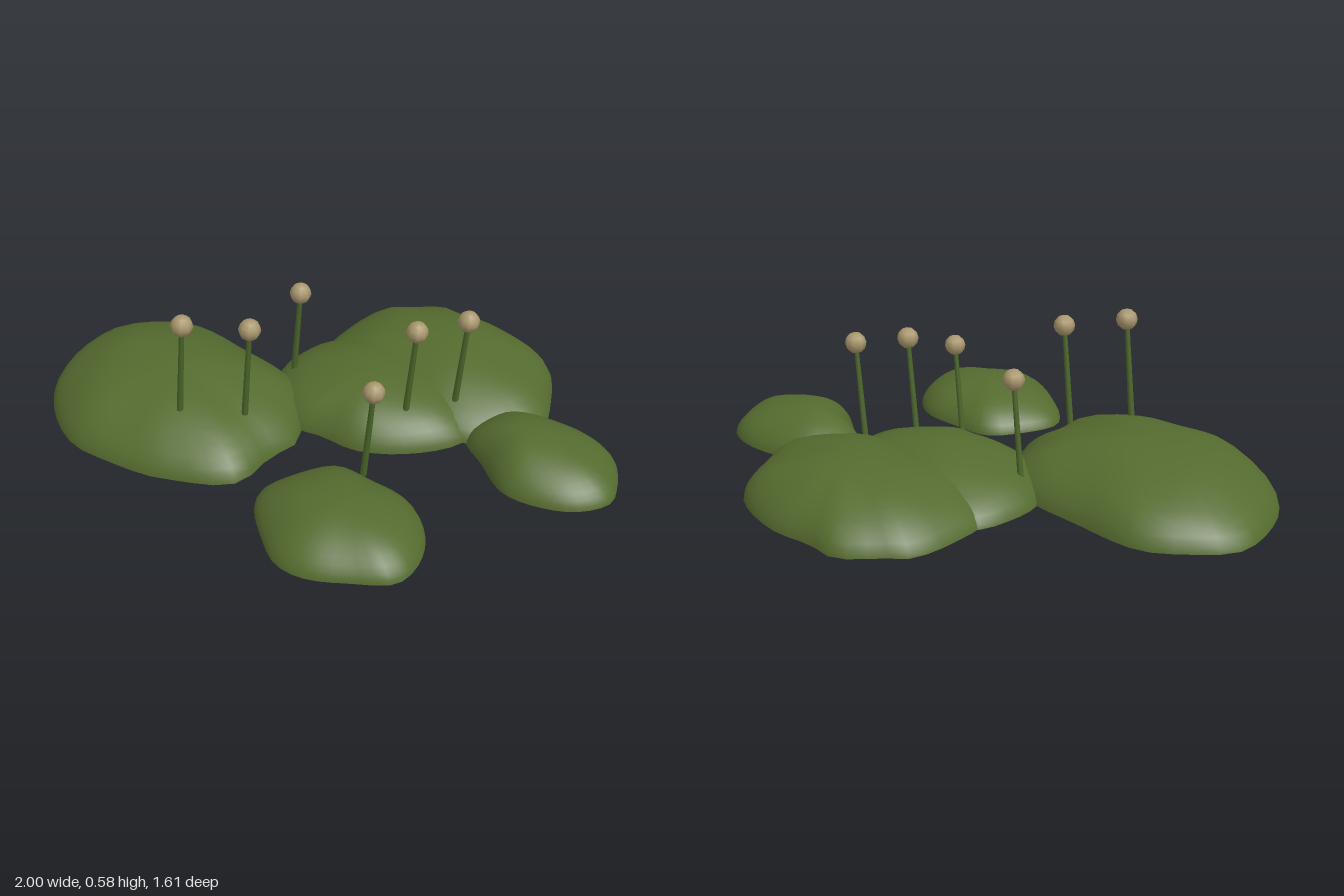
import * as THREE from 'three';

const moss = new THREE.MeshStandardMaterial({ color: 0x556b2f });
moss.name = 'moss green';
const stalk = new THREE.MeshStandardMaterial({ color: 0x4b6629 });
stalk.name = 'stalk green';
const tan = new THREE.MeshStandardMaterial({ color: 0xa8966c });
tan.name = 'spore tan';

const BASE = 0.02;

// Each clump: peak position, height above its base, and ground outline [x, z]
const clumps = [
  { name: 'frontLeftClump', peak: [-0.46, 0.39], height: 0.2, outline: [
    [-1, 0.28], [-0.9, 0.13], [-0.78, 0.03], [-0.5, 0], [-0.3, -0.01], [-0.12, 0.03], [-0.03, 0.16], [0.02, 0.22],
    [0.02, 0.36], [0.05, 0.51], [0, 0.59], [-0.1, 0.66], [-0.2, 0.72], [-0.36, 0.77], [-0.52, 0.8], [-0.7, 0.75],
    [-0.85, 0.65], [-0.95, 0.5]] },
  { name: 'backClump', peak: [0.1, -0.48], height: 0.18, outline: [
    [-0.36, -0.38], [-0.36, -0.57], [-0.3, -0.64], [-0.2, -0.76], [-0.08, -0.77], [0.1, -0.81], [0.36, -0.76],
    [0.5, -0.6], [0.57, -0.47], [0.53, -0.3], [0.4, -0.17], [0.05, -0.1], [-0.3, -0.2]] },
  { name: 'middleClump', peak: [0.06, -0.12], height: 0.16, outline: [
    [-0.33, 0], [-0.36, -0.15], [-0.33, -0.3], [0, -0.45], [0.35, -0.35], [0.43, -0.2], [0.35, -0.02],
    [0.2, 0.11], [0.05, 0.14], [-0.04, 0.17], [-0.2, 0.14]] },
  { name: 'rightClump', peak: [0.66, -0.28], height: 0.135, outline: [
    [0.43, -0.38], [0.57, -0.47], [0.75, -0.51], [0.88, -0.48], [0.97, -0.37], [1, -0.29], [0.94, -0.17],
    [0.8, -0.09], [0.7, -0.08], [0.55, -0.15], [0.43, -0.21]] },
  { name: 'frontRightClump', peak: [0.47, 0.44], height: 0.13, outline: [
    [0.14, 0.5], [0.17, 0.36], [0.24, 0.24], [0.38, 0.21], [0.55, 0.2], [0.68, 0.27], [0.76, 0.39], [0.77, 0.5],
    [0.67, 0.6], [0.55, 0.69], [0.44, 0.71], [0.3, 0.65], [0.18, 0.57]] },
];

// Domed, slightly lumpy clump with a flat underside; outline runs -x, -z, +x, +z
function clumpGeometry({ peak, height, outline }) {
  const segments = 40, rings = 10;
  const curve = new THREE.CatmullRomCurve3(outline.map(([x, z]) => new THREE.Vector3(x, 0, z)), true);
  const rim = curve.getSpacedPoints(segments).slice(0, segments);
  const positions = [peak[0], BASE + height, peak[1]];
  for (let r = 1; r <= rings; r++) {
    const t = Math.sin((r / rings) * Math.PI / 2);
    for (const p of rim) {
      const x = THREE.MathUtils.lerp(peak[0], p.x, t);
      const z = THREE.MathUtils.lerp(peak[1], p.z, t);
      const dome = r === rings ? 0 : Math.pow(1 - t * t, 0.6);
      const lump = 0.035 * Math.sin(13 * x + 4 * z) * Math.cos(15 * z - 5 * x) * t;
      positions.push(x, BASE + height * dome * (1 + lump * 2), z);
    }
  }
  const index = [];
  const at = (r, s) => 1 + (r - 1) * segments + (s % segments);
  for (let s = 0; s < segments; s++) {
    index.push(0, at(1, s + 1), at(1, s));
    for (let r = 1; r < rings; r++) {
      index.push(at(r, s), at(r, s + 1), at(r + 1, s), at(r, s + 1), at(r + 1, s + 1), at(r + 1, s));
    }
  }
  // Underside has its own vertices so the rim stays sharp
  const centre = positions.length / 3;
  positions.push(peak[0], BASE, peak[1]);
  rim.forEach((p) => positions.push(p.x, BASE, p.z));
  for (let s = 0; s < segments; s++) {
    index.push(centre, centre + 1 + s, centre + 1 + ((s + 1) % segments));
  }
  const geometry = new THREE.BufferGeometry();
  geometry.setAttribute('position', new THREE.Float32BufferAttribute(positions, 3));
  geometry.setIndex(index);
  geometry.computeVertexNormals();
  return geometry;
}

// Centres of the spore heads
const heads = [
  [-0.2, 0.545, 0.53], [-0.055, 0.52, 0.36], [0.345, 0.375, 0.175],
  [-0.2, 0.445, -0.005], [0.298, 0.475, -0.08], [0.375, 0.475, -0.255],
];

export function createModel() {
  const model = new THREE.Group();
  model.name = 'mossPatch';

  for (const clump of clumps) {
    const mesh = new THREE.Mesh(clumpGeometry(clump), moss);
    mesh.name = clump.name;
    model.add(mesh);
  }

  // Leaning stalks, each topped with a small faceted sphere
  const lean = Math.atan2(0.045, 0.37);
  const length = 0.37;
  const stemGeometry = new THREE.CylinderGeometry(0.009, 0.012, length, 6).translate(0, -length / 2, 0);
  const headGeometry = new THREE.SphereGeometry(0.039, 8, 6);
  heads.forEach((position, i) => {
    const sprout = new THREE.Group();
    sprout.name = `sprout${i + 1}`;
    const stem = new THREE.Mesh(stemGeometry, stalk);
    stem.name = 'stem';
    const head = new THREE.Mesh(headGeometry, tan);
    head.name = 'sporeHead';
    sprout.add(stem, head);
    sprout.position.set(...position);
    sprout.rotation.z = -lean;
    model.add(sprout);
  });

  return model;
}
